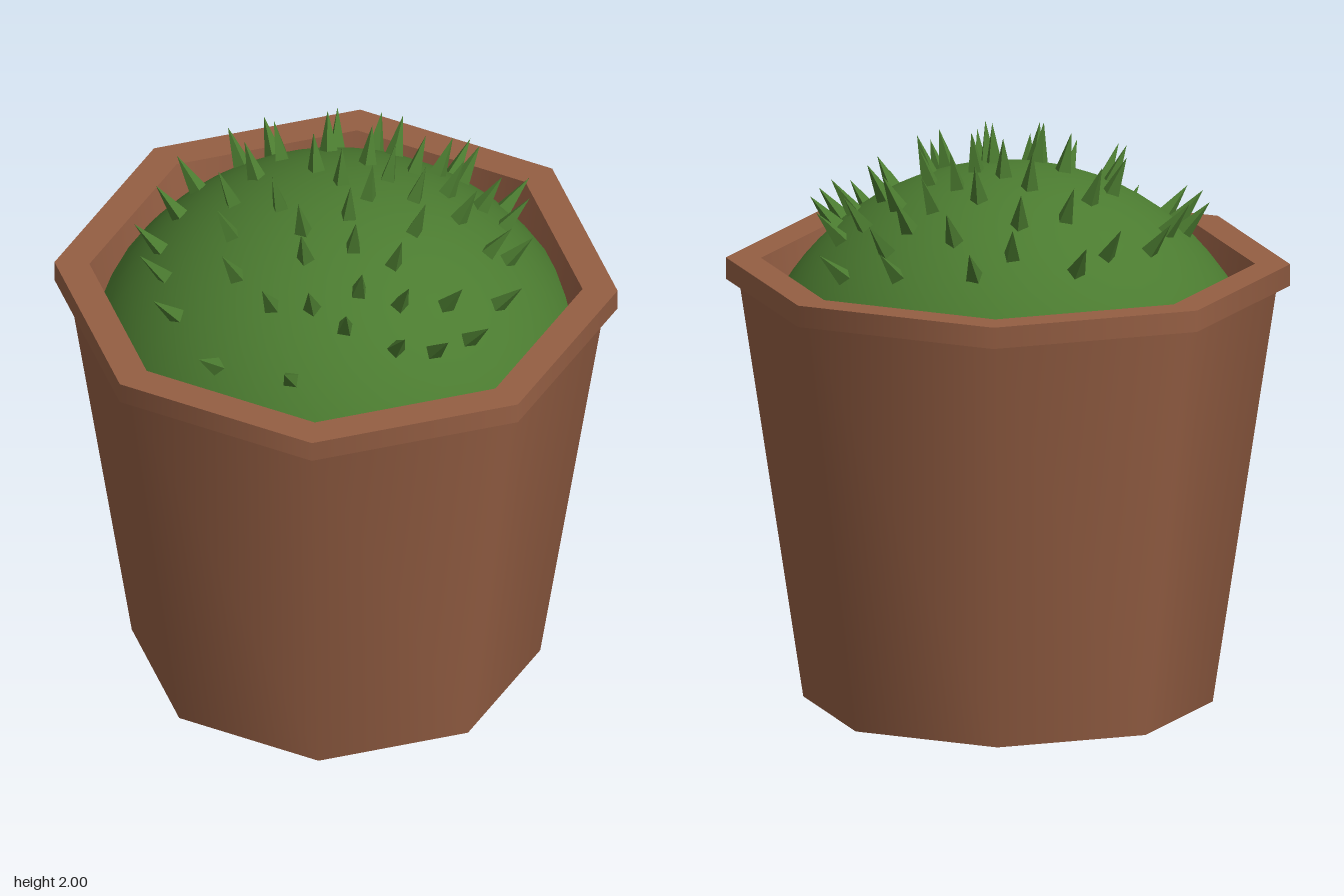
import * as THREE from 'three';

const terracotta = new THREE.MeshStandardMaterial({ color: 0x945e43 });
terracotta.name = 'terracotta';
const cactusGreen = new THREE.MeshStandardMaterial({ color: 0x4b7b30 });
cactusGreen.name = 'cactusGreen';
const spineGreen = new THREE.MeshStandardMaterial({ color: 0x4b7b30, flatShading: true });
spineGreen.name = 'spineGreen';

const DOME_RADIUS = 0.907, DOME_Y = 0.963;

// Spine positions as x, z pairs seen from above
const SPINES = [
  -0.28, -0.585, -0.045, -0.58, 0.09, -0.65, 0.17, -0.505, 0.38, -0.565,
  -0.385, -0.47, -0.065, -0.445, -0.23, -0.37, -0.535, -0.325, 0.09, -0.3,
  0.26, -0.31, 0.34, -0.385, 0.42, -0.445, 0.58, -0.425, -0.31, -0.21,
  -0.09, -0.21, 0.175, -0.185, 0.39, -0.21, 0.51, -0.23, 0.6, -0.2,
  -0.585, -0.13, 0.01, -0.11, 0.28, -0.085, 0.445, -0.06, -0.38, -0.05,
  0.115, -0.03, -0.64, 0.035, -0.2, 0.04, 0.565, 0.035, 0.63, 0.01,
  0.055, 0.095, 0.295, 0.105, -0.61, 0.2, -0.37, 0.145, -0.105, 0.18,
  0.615, 0.245, 0.085, 0.25, 0.235, 0.285, -0.085, 0.305, -0.335, 0.34,
  -0.55, 0.395, 0.435, 0.37, 0.12, 0.425, 0.27, 0.435, 0.525, 0.44,
  -0.195, 0.48, -0.045, 0.495, 0.405, 0.54, 0.08, 0.555, 0.27, 0.58,
  -0.385, 0.62, -0.105, 0.705,
];

// One octagonal band between two profile points, smooth around, crisp at its edges
function band(name, r0, y0, r1, y1) {
  const points = [new THREE.Vector2(r0, y0), new THREE.Vector2(r1, y1)];
  const mesh = new THREE.Mesh(new THREE.LatheGeometry(points, 8), terracotta);
  mesh.name = name;
  return mesh;
}

function createPot() {
  const pot = new THREE.Group();
  pot.name = 'pot';
  pot.add(
    band('potBase', 0, 0, 0.7, 0),
    band('potWall', 0.7, 0, 0.92, 1.465),
    band('rimUnderside', 0.92, 1.465, 0.965, 1.465),
    band('rimEdge', 0.965, 1.465, 0.965, 1.54),
    band('rimTop', 0.965, 1.54, 0.845, 1.54),
    band('innerWall', 0.845, 1.54, 0.8, 1.24),
    band('innerFloor', 0.8, 1.24, 0, 1.24),
  );
  return pot;
}

function createCactus() {
  const cactus = new THREE.Group();
  cactus.name = 'cactus';

  // Rounded body, cut off below the rim
  const body = new THREE.Mesh(
    new THREE.SphereGeometry(DOME_RADIUS, 40, 14, 0, Math.PI * 2, 0, 1.14), cactusGreen);
  body.name = 'cactusBody';
  body.position.y = DOME_Y;
  cactus.add(body);

  // Four-sided spines standing out from the body
  const spineShape = new THREE.ConeGeometry(0.036, 0.155, 4);
  const up = new THREE.Vector3(0, 1, 0);
  for (let i = 0; i < SPINES.length; i += 2) {
    const x = SPINES[i] / 0.97, z = SPINES[i + 1] / 0.97;
    const outward = new THREE.Vector3(x, Math.sqrt(1 - x * x - z * z), z);
    const spine = new THREE.Mesh(spineShape, spineGreen);
    spine.name = 'spine';
    spine.quaternion.setFromUnitVectors(up, outward);
    spine.rotateY(i * 1.3);
    spine.position.copy(outward).multiplyScalar(DOME_RADIUS + 0.058);
    spine.position.y += DOME_Y;
    cactus.add(spine);
  }
  return cactus;
}

export function createModel() {
  const model = new THREE.Group();
  model.name = 'pottedCactus';
  model.add(createPot(), createCactus());
  return model;
}
